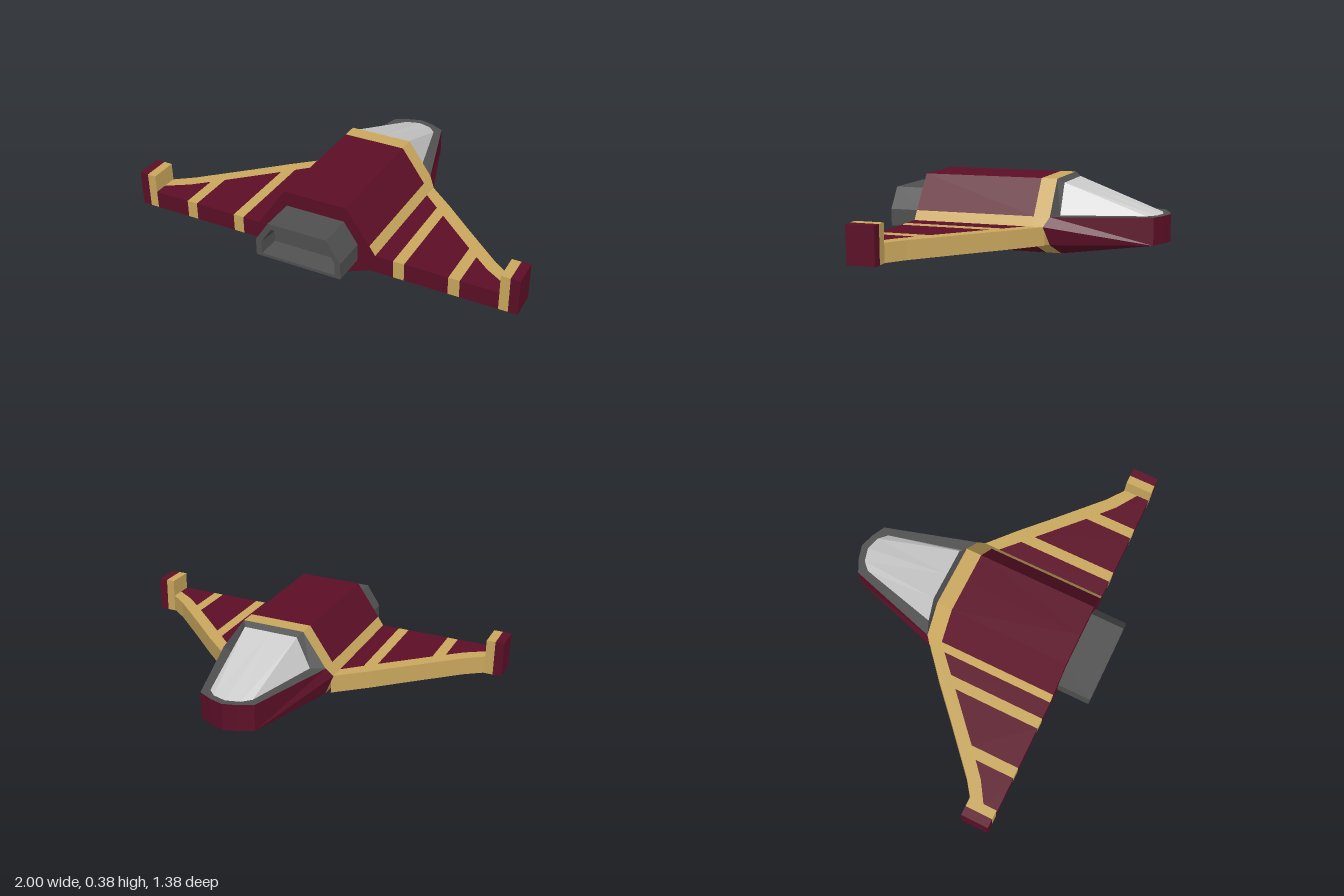
import * as THREE from 'three';

const mat = (color) => new THREE.MeshStandardMaterial({ color, flatShading: true });
const RED = mat(0x5c0f27), GOLD = mat(0xc9a75d), DARK = mat(0x505050), GLASS = mat(0xcccccc);

const REAR = 0.52, WING_LOW = 0.08, WING_HIGH = 0.17;

// Flat panels, each mirrored across x and turned to face away from the middle of the hull
function panels(name, material, polys) {
  const pos = [], core = new THREE.Vector3(0, 0.15, -0.1);
  const mirrored = polys.map((p) => p.map(([x, y, z]) => [-x, y, z]));
  for (const poly of [...polys, ...mirrored]) {
    const v = poly.map((p) => new THREE.Vector3(...p));
    for (let i = 1; i < v.length - 1; i++) {
      const tri = new THREE.Triangle(v[0], v[i], v[i + 1]);
      const normal = tri.getNormal(new THREE.Vector3());
      const out = tri.getMidpoint(new THREE.Vector3()).sub(core);
      const order = normal.dot(out) < 0 ? [v[0], v[i + 1], v[i]] : [v[0], v[i], v[i + 1]];
      for (const p of order) pos.push(p.x, p.y, p.z);
    }
  }
  return meshFrom(name, material, pos);
}

function meshFrom(name, material, pos) {
  const geo = new THREE.BufferGeometry();
  geo.setAttribute('position', new THREE.Float32BufferAttribute(pos, 3));
  geo.computeVertexNormals();
  const mesh = new THREE.Mesh(geo, material);
  mesh.name = name;
  return mesh;
}

// Quads between two matching rows of points
const strip = (a, b) => a.slice(1).map((p, i) => [a[i], p, b[i + 1], b[i]]);

// Plan outline of [x, z] points raised to a slab
function slab(name, material, outline, side) {
  const shape = new THREE.Shape(outline.map(([x, z]) => new THREE.Vector2(side * x, -z)));
  const geo = new THREE.ExtrudeGeometry(shape, { depth: WING_HIGH - WING_LOW, bevelEnabled: false });
  geo.rotateX(-Math.PI / 2).translate(0, WING_LOW, 0);
  const mesh = new THREE.Mesh(geo, material);
  mesh.name = name;
  return mesh;
}

function buildHull() {
  const g = new THREE.Group();
  g.name = 'hull';
  // half section from keel to roof, with the z of the front edge
  const half = [[0, 0.005, -0.17], [0.09, 0.005, -0.17], [0.28, 0.08, -0.17],
    [0.31, 0.17, -0.145], [0.28, 0.215, -0.17], [0.16, 0.385, -0.17], [0, 0.385, -0.17]];
  const at = (z) => half.map(([x, y]) => [x, y, z]);
  const front = strip(half, at(-0.09)), body = strip(at(-0.09), at(REAR));
  g.add(panels('hullBody', RED, [...body.filter((_, i) => i !== 3), front[0], at(REAR)]));
  g.add(panels('sideStripes', GOLD, [body[3]]));
  g.add(panels('frontBand', GOLD, front.slice(1)));
  return g;
}

function buildNose() {
  const g = new THREE.Group();
  g.name = 'nose';
  const tip = [[0.14, -0.64], [0.07, -0.675], [0, -0.695]];
  const low = tip.map(([x, z]) => [x, 0.08, z]), high = tip.map(([x, z]) => [x, 0.215, z]);
  const keel = [0.09, 0.005, -0.17], chine = [0.28, 0.08, -0.17];
  const bulge = [0.31, 0.17, -0.145], deck = [0.28, 0.215, -0.17];
  g.add(panels('noseShell', RED, [
    [low[0], chine, bulge, deck, high[0]],
    ...strip(low, high),
    [keel, chine, low[0], low[1]],
    [[0, 0.005, -0.17], keel, low[1], low[2]],
  ]));
  // canopy surround: arch at the hull, then the rim along the deck
  const outer = [[0, 0.385, -0.17], [0.16, 0.385, -0.17], deck, ...high];
  const inner = [[0, 0.365, -0.2], [0.14, 0.365, -0.2], [0.21, 0.215, -0.2],
    [0.11, 0.215, -0.6], [0.07, 0.215, -0.64], [0, 0.215, -0.66]];
  g.add(panels('canopyFrame', DARK, strip(outer, inner)));
  const [topMid, top, base, side, corner, end] = inner;
  g.add(panels('canopy', GLASS, [[topMid, top, corner, end], [top, base, side], [top, side, corner]]));
  return g;
}

function buildWing(side) {
  const g = new THREE.Group();
  g.name = side > 0 ? 'leftWing' : 'rightWing';
  const lead = [[0.3, -0.15], [0.45, -0.02], [0.6, 0.12], [0.82, 0.32], [0.91, 0.385]];
  const inner = [[0.28, -0.09], [0.43, 0.05], [0.68, 0.28], [0.8, 0.385], [0.91, 0.455]];
  g.add(slab('leadingEdge', GOLD, [...lead, ...inner.slice().reverse()], side));
  const edge = (x) => {
    const i = Math.max(1, inner.findIndex((p) => p[0] >= x - 1e-6));
    const [a, b] = [inner[i - 1], inner[i]];
    return a[1] + (b[1] - a[1]) * (x - a[0]) / (b[0] - a[0]);
  };
  // alternating red sections and gold stripes behind the leading edge
  const cuts = [0.28, 0.4, 0.455, 0.67, 0.725, 0.91];
  for (let i = 0; i < cuts.length - 1; i++) {
    const [a, b] = [cuts[i], cuts[i + 1]];
    const knots = inner.filter(([x]) => x > a && x < b);
    const outline = [[a, REAR], [a, edge(a)], ...knots, [b, edge(b)], [b, REAR]];
    g.add(slab(i % 2 ? 'wingStripe' : 'wingPanel', i % 2 ? GOLD : RED, outline, side));
  }
  // winglet in two layers
  for (const [name, material, x] of [['wingletInner', GOLD, 0.9325], ['wingletOuter', RED, 0.9775]]) {
    const m = new THREE.Mesh(new THREE.BoxGeometry(0.045, 0.18, REAR - 0.382), material);
    m.position.set(side * x, 0.17, (REAR + 0.382) / 2);
    m.name = name;
    g.add(m);
  }
  return g;
}

// Engine: hollow block whose recess narrows to a back plate
function buildEngine() {
  const ring = (w, t, y0, y1, y2, z) =>
    [[-w, y0, z], [w, y0, z], [w, y1, z], [t, y2, z], [-t, y2, z], [-w, y1, z]];
  const rings = [
    ring(0.22, 0.15, 0.12, 0.205, 0.31, REAR),
    ring(0.22, 0.15, 0.12, 0.205, 0.31, 0.69),
    ring(0.19, 0.135, 0.135, 0.2, 0.28, 0.69),
    ring(0.18, 0.13, 0.145, 0.2, 0.27, 0.59),
  ];
  const pos = [];
  for (let r = 0; r < 3; r++) {
    for (let i = 0; i < 6; i++) {
      const j = (i + 1) % 6, [a, b] = [rings[r], rings[r + 1]];
      pos.push(...a[i], ...a[j], ...b[j], ...a[i], ...b[j], ...b[i]);
    }
  }
  const back = rings[3];
  for (let i = 1; i < 5; i++) pos.push(...back[0], ...back[i], ...back[i + 1]);
  return meshFrom('engine', DARK, pos);
}

export function createModel() {
  const model = new THREE.Group();
  model.name = 'starfighter';
  model.add(buildHull(), buildNose(), buildWing(1), buildWing(-1), buildEngine());
  return model;
}
